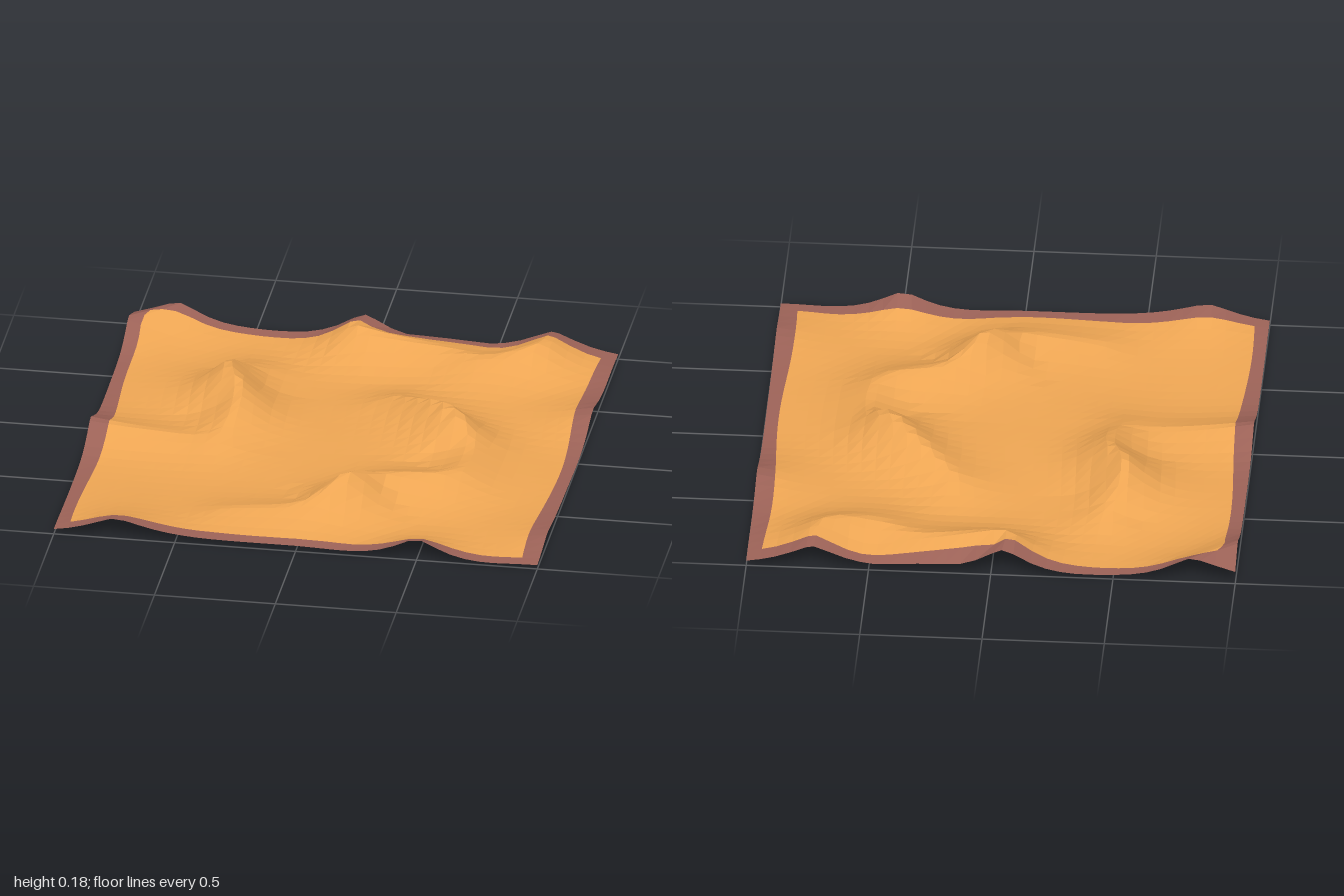
import * as THREE from 'three';

// A dune crest: a smooth line through a few [x, height, z] points
const crest = (...points) => new THREE.CatmullRomCurve3(points.map((p) => new THREE.Vector3(...p))).getPoints(24);

const leftDune = crest([-0.45, 0.07, -0.56], [-0.5, 0.175, -0.36], [-0.42, 0.14, -0.16], [-0.46, 0.06, 0.08]);
const rightDune = crest([-0.32, 0.04, 0.74], [0, 0.08, 0.72], [0.14, 0.165, 0.59], [0.25, 0.1, 0.45],
  [0.55, 0.08, 0.34], [0.57, 0.09, 0.08], [0.48, 0.17, -0.06], [0.2, 0.07, -0.35]);
const backDune = crest([-0.05, 0.11, -1], [-0.06, 0.13, -0.88], [0.3, 0.06, -0.83], [0.5, 0.07, -0.75],
  [0.7, 0.11, -0.83], [0.73, 0.08, -1]);
const cornerDune = crest([-1, 0.09, -0.85], [-0.82, 0.1, -1]);
const edgeDune = crest([-1, 0.085, 0.09], [-0.55, 0.04, 0.1]);
const dunes = [leftDune, rightDune, backDune, cornerDune, edgeDune];

// Low mounds along the outer edges
const mounds = [
  { x: 0.5, z: 1, h: 0.095, r: 0.14 },
  { x: -0.75, z: 1, h: 0.075, r: 0.17 },
  { x: 1, z: -0.37, h: 0.065, r: 0.17 },
  { x: 1, z: 0.75, h: 0.035, r: 0.18 },
];

// Closest point of a crest, and its distance on the ground
function nearest(points, x, z) {
  let best = { d: Infinity };
  for (let i = 0; i + 1 < points.length; i++) {
    const a = points[i], b = points[i + 1], ex = b.x - a.x, ez = b.z - a.z;
    const t = THREE.MathUtils.clamp(((x - a.x) * ex + (z - a.z) * ez) / (ex * ex + ez * ez), 0, 1);
    const p = a.clone().lerp(b, t), d = Math.hypot(x - p.x, z - p.z);
    if (d < best.d) best = { d, p };
  }
  return best;
}

// Height of the sand: soft ripples plus dunes and mounds blended together
function height(x, z) {
  const ripple = 0.022 + 0.007 * Math.sin(4.1 * x + 1.8 * z + 0.6) + 0.006 * Math.sin(5.3 * z - 2.2 * x + 1.2)
    + 0.003 * Math.sin(9 * x - 6 * z);
  const slope = (h, d, width) => Math.pow(h * Math.exp(-Math.pow(d / width, 1.45)), 3);
  let sum = 0;
  for (const dune of dunes) {
    const { d, p } = nearest(dune, x, z);
    sum += slope(p.y, d, 0.135);
  }
  for (const m of mounds) sum += slope(m.h, Math.hypot(x - m.x, z - m.z), m.r);
  return ripple + Math.cbrt(sum);
}

// Grid lines: a narrow rim cell at either end, even cells between
const CELLS = 34;
const line = (i) => i === 0 ? -1 : i === CELLS ? 1 : -0.935 + 1.87 * (i - 1) / (CELLS - 2);

// The outer edge stays straight and the rim keeps its width
function keepRim(v, i) {
  if (i === 0 || i === CELLS) return line(i);
  if (i === 1) return THREE.MathUtils.clamp(v, -0.96, -0.9);
  if (i === CELLS - 1) return THREE.MathUtils.clamp(v, 0.9, 0.96);
  return v;
}

// Grid point pulled towards the crests, so that cell edges follow them
function gridPoint(i, j) {
  const x0 = line(i), z0 = line(j);
  let x = x0 + 0.012 * Math.sin(5 * z0 + 1), z = z0 + 0.01 * Math.sin(6 * x0 + 2);
  for (const dune of dunes) {
    const { d, p } = nearest(dune, x0, z0), pull = 0.55 * Math.exp(-Math.pow(d / 0.07, 2));
    x += (p.x - x0) * pull;
    z += (p.z - z0) * pull;
  }
  x = keepRim(x, i);
  z = keepRim(z, j);
  return [x, height(x, z), z];
}

// The cells of the grid that pass the test, as one faceted sheet
function sheet(name, color, wanted) {
  const pos = [], index = [];
  for (let j = 0; j <= CELLS; j++) for (let i = 0; i <= CELLS; i++) pos.push(...gridPoint(i, j));
  for (let j = 0; j < CELLS; j++) {
    for (let i = 0; i < CELLS; i++) {
      if (!wanted(i, j)) continue;
      const a = j * (CELLS + 1) + i, b = a + 1, c = a + CELLS + 1, d = c + 1;
      index.push(a, c, b, b, c, d);
    }
  }
  const grid = new THREE.BufferGeometry();
  grid.setAttribute('position', new THREE.Float32BufferAttribute(pos, 3));
  grid.setIndex(index);
  const geometry = grid.toNonIndexed();
  geometry.computeVertexNormals();
  const material = new THREE.MeshStandardMaterial({ color, flatShading: true, side: THREE.DoubleSide });
  const mesh = new THREE.Mesh(geometry, material);
  mesh.name = name;
  return mesh;
}

export function createModel() {
  const group = new THREE.Group();
  group.name = 'sandDunes';
  const isRim = (i, j) => i === 0 || j === 0 || i === CELLS - 1 || j === CELLS - 1;
  group.add(sheet('sand', 0xeda553, (i, j) => !isRim(i, j)));
  group.add(sheet('rim', 0x9c6257, isRim));
  // Stand the lowest point on the ground
  const low = new THREE.Box3().setFromObject(group).min.y;
  for (const mesh of group.children) mesh.geometry.translate(0, -low, 0);
  return group;
}
